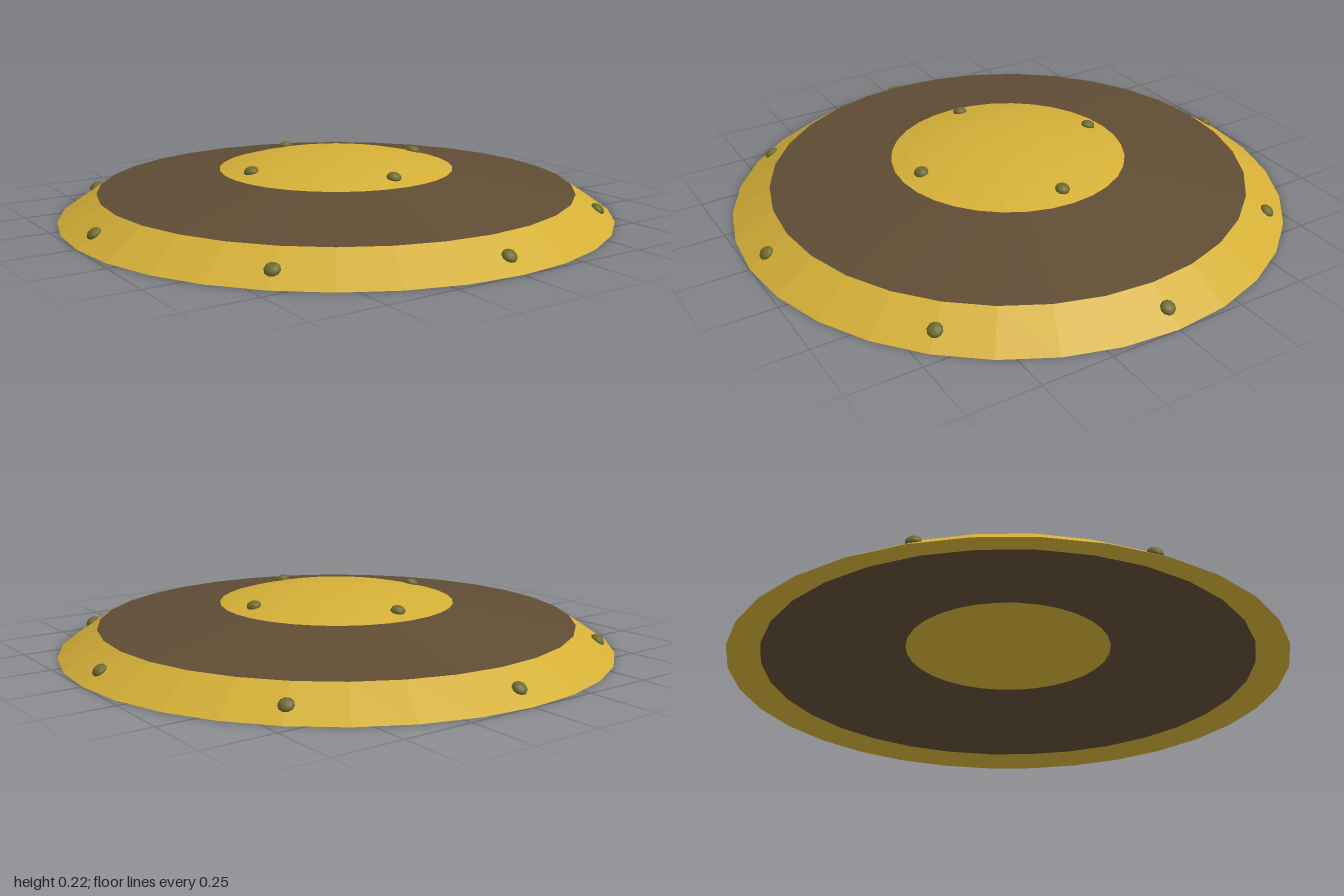
import * as THREE from 'three';

const SIDES = 32;

function material(name, color) {
  const m = new THREE.MeshStandardMaterial({ color });
  m.name = name;
  return m;
}

// Facet normals keep every face crisp
function lathe(name, profile, mat) {
  const points = profile.map(([r, y]) => new THREE.Vector2(r, y));
  const geometry = new THREE.LatheGeometry(points, SIDES).toNonIndexed();
  geometry.computeVertexNormals();
  const mesh = new THREE.Mesh(geometry, mat);
  mesh.name = name;
  return mesh;
}

export function createModel() {
  const gold = material('gold', 0xd4af37);
  const wood = material('dark wood', 0x5f4c34);
  const bronze = material('olive bronze', 0x6e6a2e);

  const shield = new THREE.Group();
  shield.name = 'roundShield';

  // Sloping metal band around the edge
  shield.add(lathe('rim', [
    [0.886, 0.025], [1, 0], [0.861, 0.094], [0.84, 0.08], [0.886, 0.025],
  ], gold));

  // Shallow conical board, top and underside
  shield.add(lathe('board', [
    [0.37, 0.115], [0.886, 0.025], [0.861, 0.094], [0.42, 0.16],
  ], wood));

  // Domed boss with a flat back
  const boss = [[0, 0.115], [0.378, 0.114], [0.424, 0.16]];
  const rings = 7;
  for (let i = 1; i <= rings; i++) {
    const r = 0.424 * (1 - i / rings);
    boss.push([r, 0.222 - 0.062 * (r / 0.424) ** 2]);
  }
  shield.add(lathe('boss', boss, gold));

  // Flattened rivets, each lying on the slope beneath it
  const rivetGeometry = new THREE.SphereGeometry(0.026, 10, 8);
  rivetGeometry.scale(1, 0.68, 1);
  function rivetRing(name, count, radius, y, tilt) {
    const ring = new THREE.Group();
    ring.name = name;
    for (let i = 0; i < count; i++) {
      const arm = new THREE.Group();
      arm.rotation.y = (i / count) * Math.PI * 2;
      const rivet = new THREE.Mesh(rivetGeometry, bronze);
      rivet.name = 'rivet';
      rivet.position.set(0, y, radius);
      rivet.rotation.x = tilt;
      arm.add(rivet);
      ring.add(arm);
    }
    shield.add(ring);
  }
  rivetRing('rimRivets', 8, 0.938, 0.044, 0.59);
  rivetRing('bossRivets', 4, 0.355, 0.182, 0.24);

  return shield;
}
